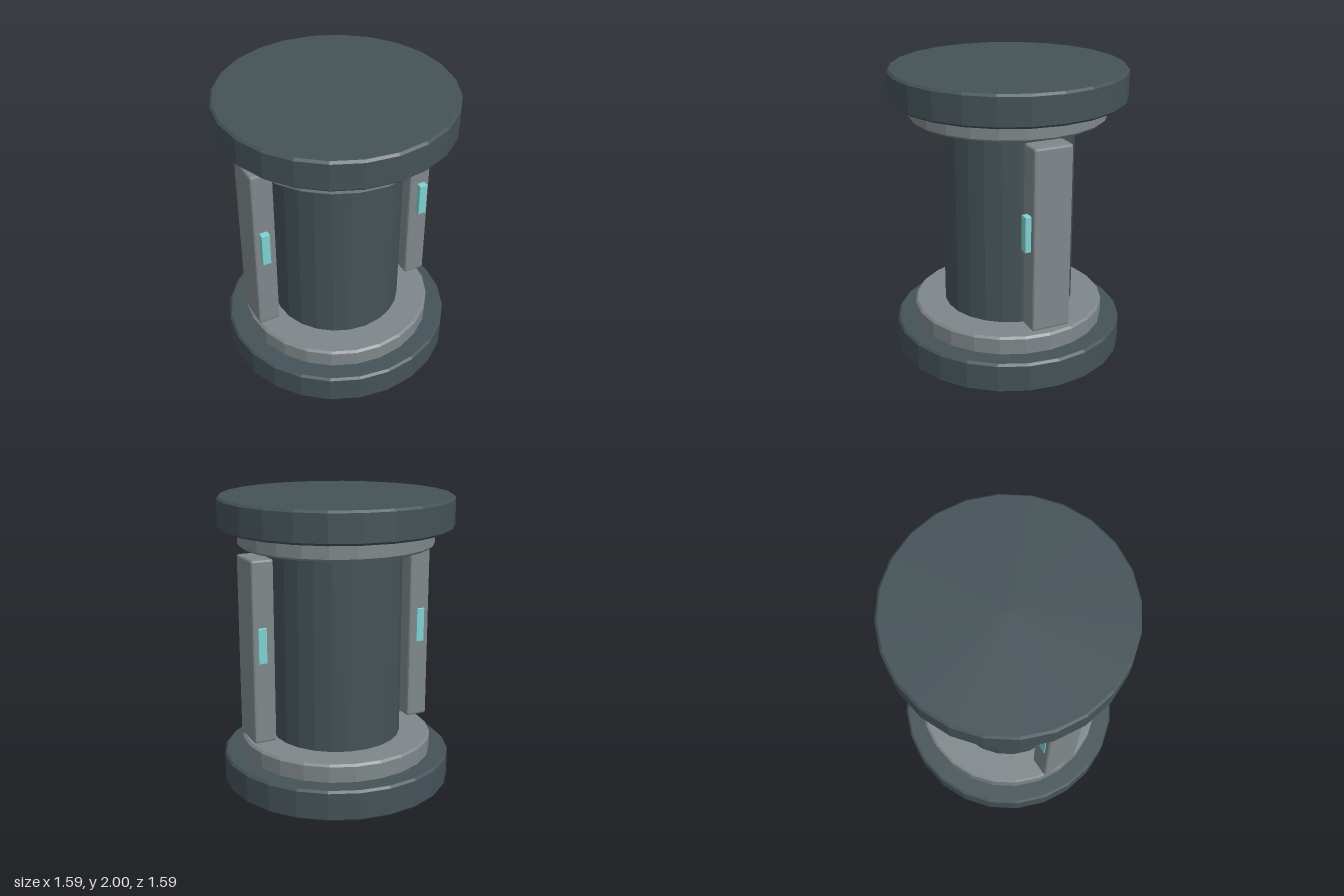
import * as THREE from 'three';
import { RoundedBoxGeometry } from 'three/addons/geometries/RoundedBoxGeometry.js';

const material = (name, color, flatShading = false) => {
  const m = new THREE.MeshStandardMaterial({ color, flatShading });
  m.name = name;
  return m;
};

export function createModel() {
  const model = new THREE.Group();
  model.name = 'column';
  const dark = material('dark slate', 0x445257, true);
  const grey = material('mid grey', 0x7f878a, true);
  const teal = material('teal glow', 0x7fd1d1, true);

  const add = (name, geometry, mat, x = 0, y = 0, z = 0) => {
    const mesh = new THREE.Mesh(geometry, mat);
    mesh.name = name;
    mesh.position.set(x, y, z);
    model.add(mesh);
  };

  // 24-sided disc with a small chamfer on both rims
  const disc = (name, radius, y0, y1, mat, c = 0.015) => {
    const points = [
      [0, y0], [radius - c, y0], [radius, y0 + c],
      [radius, y1 - c], [radius - c, y1], [0, y1],
    ].map(([r, y]) => new THREE.Vector2(r, y));
    add(name, new THREE.LatheGeometry(points, 24), mat);
  };

  // Stacked round body
  disc('basePlate', 0.795, 0, 0.213, dark);
  disc('lowerCollar', 0.665, 0.2, 0.338, grey);
  disc('core', 0.45, 0.32, 1.69, dark);
  disc('upperCollar', 0.665, 1.67, 1.81, grey);
  disc('topPlate', 0.795, 1.79, 2, dark);

  // Side pillars, each with a light strip that stands out at the front
  for (const [side, s] of [['left', 1], ['right', -1]]) {
    add(side + 'Pillar', new RoundedBoxGeometry(0.155, 1.25, 0.27, 1, 0.015), grey, s * 0.59, 1.004, 0);
    add(side + 'Light', new RoundedBoxGeometry(0.06, 0.245, 0.315, 1, 0.005), teal, s * 0.6, 1.057, 0.0175);
  }
  return model;
}
